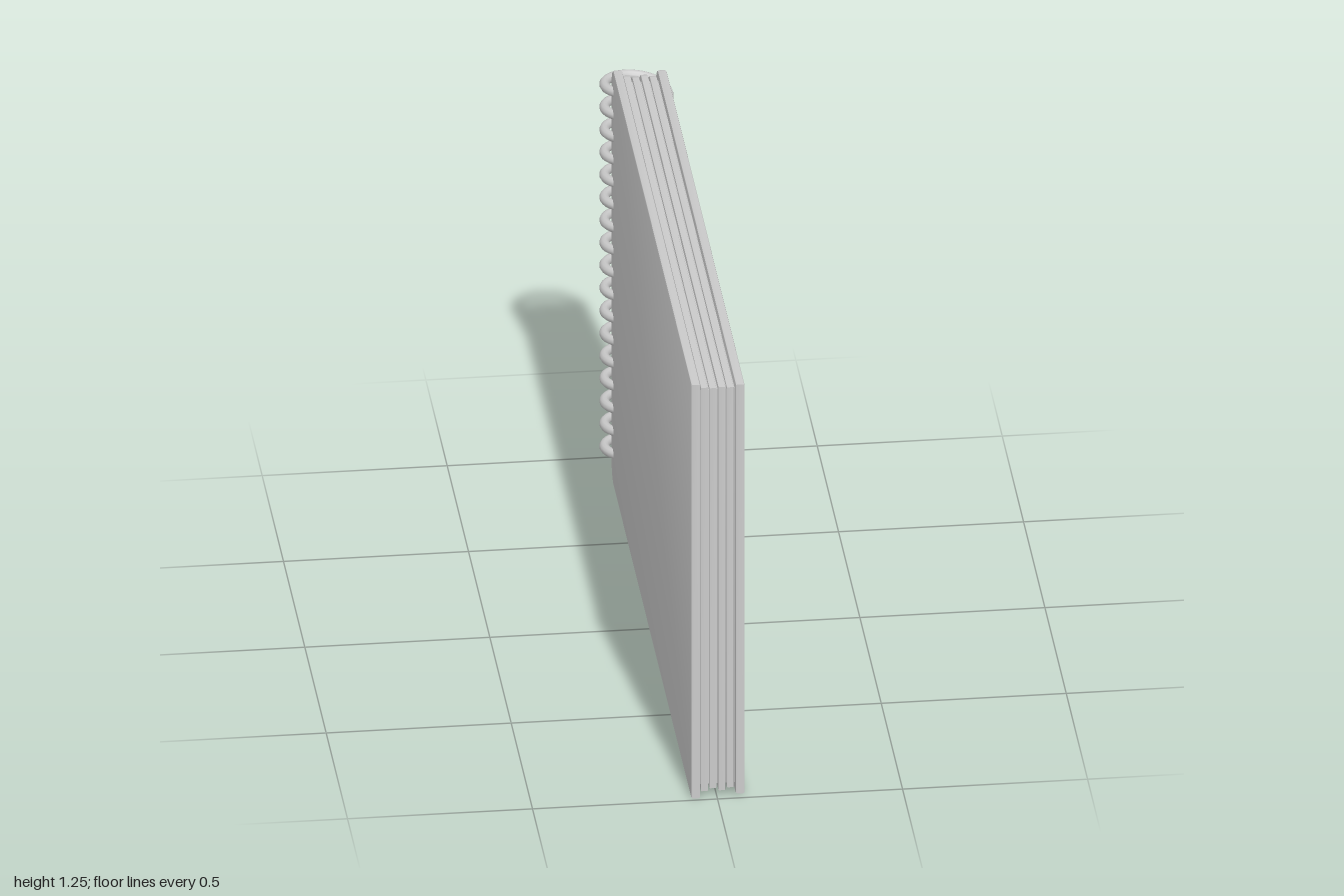
import * as THREE from 'three';
import { toCreasedNormals } from 'three/addons/utils/BufferGeometryUtils.js';

const material = new THREE.MeshStandardMaterial({ color: 0xcccccc });

// Upright sheet: square corners at the front, rounded corners by the binding
function sheet(name, x0, x1, y0, y1, zBack, zFront, bevel) {
  const r = 0.045, b = bevel;
  const [l, rt, lo, hi] = [zBack + b, zFront - b, y0 + b, y1 - b];
  const s = new THREE.Shape();
  s.moveTo(rt, lo);
  s.lineTo(rt, hi);
  s.lineTo(l + r, hi);
  s.absarc(l + r, hi - r, r, Math.PI / 2, Math.PI, false);
  s.lineTo(l, lo + r);
  s.absarc(l + r, lo + r, r, Math.PI, Math.PI * 1.5, false);
  s.closePath();
  const geometry = new THREE.ExtrudeGeometry(s, {
    depth: x1 - x0 - 2 * b, curveSegments: 8,
    bevelEnabled: b > 0, bevelSize: b, bevelThickness: b, bevelSegments: 2,
  });
  geometry.translate(0, 0, -(x1 - x0 - 2 * b) / 2);
  geometry.rotateY(-Math.PI / 2);
  geometry.translate((x0 + x1) / 2, 0, 0);
  const mesh = new THREE.Mesh(toCreasedNormals(geometry, 0.6), material);
  mesh.name = name;
  return mesh;
}

// Continuous coil running down the back edge
class CoilCurve extends THREE.Curve {
  constructor(turns, radius, yTop, yBottom, z) {
    super();
    Object.assign(this, { turns, radius, yTop, yBottom, z });
  }
  getPoint(t, target = new THREE.Vector3()) {
    const a = t * this.turns * Math.PI * 2;
    return target.set(
      -Math.sin(a) * this.radius,
      this.yTop + (this.yBottom - this.yTop) * t,
      this.z + Math.cos(a) * this.radius
    );
  }
}

export function createModel() {
  const group = new THREE.Group();
  group.name = 'spiralNotebook';

  // Covers
  group.add(sheet('rightCover', -0.07, -0.045, 0, 1.253, -0.88, 0.99, 0.005));
  group.add(sheet('leftCover', 0.05, 0.075, 0.008, 1.247, -0.88, 0.99, 0.005));

  // Page stacks with narrow gaps between them
  const pages = new THREE.Group();
  pages.name = 'pages';
  const stacks = 4, pitch = 0.0235;
  for (let i = 0; i < stacks; i++) {
    const x = -0.043 + i * pitch;
    const shift = (i % 2) * 0.005;
    pages.add(sheet('pageStack', x, x + 0.019, 0.018 + shift, 1.24 - shift, -0.87, 0.985 - shift, 0.002));
  }
  // Recessed sheets closing the gaps
  pages.add(sheet('innerPages', -0.046, 0.051, 0.032, 1.225, -0.86, 0.968, 0));
  group.add(pages);

  // Wire binding, with rounded ends
  const wire = 0.0135;
  const curve = new CoilCurve(17, 0.0865, 1.197, 0.032, -0.9);
  const binding = new THREE.Group();
  binding.name = 'spiralBinding';
  const coil = new THREE.Mesh(new THREE.TubeGeometry(curve, 17 * 32, wire, 10, false), material);
  coil.name = 'coil';
  binding.add(coil);
  for (const t of [0, 1]) {
    const end = new THREE.Mesh(new THREE.SphereGeometry(wire, 10, 8), material);
    end.name = 'coilEnd';
    end.position.copy(curve.getPoint(t));
    binding.add(end);
  }
  group.add(binding);

  return group;
}
